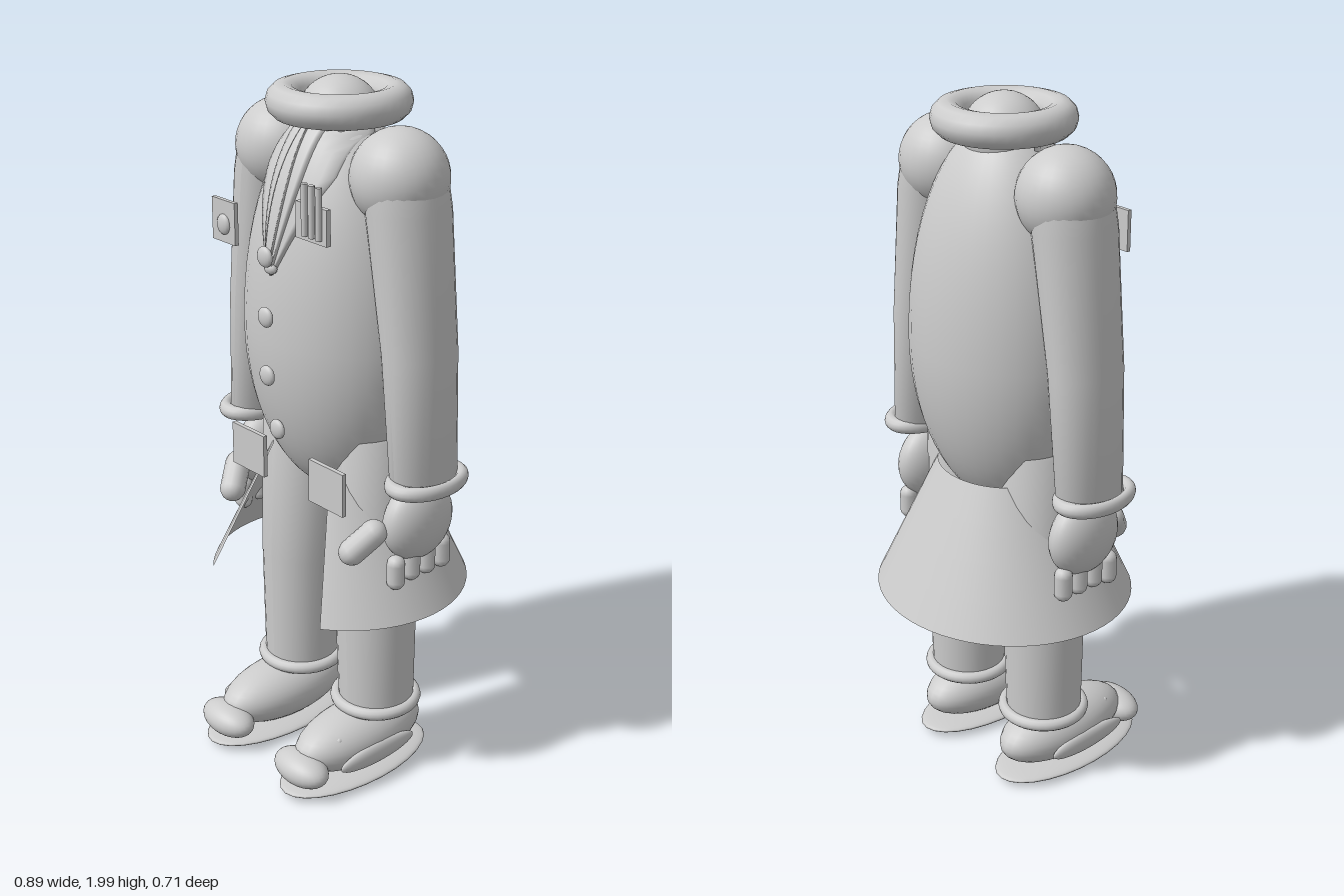
import * as THREE from 'three';

const cloth = new THREE.MeshStandardMaterial({ color: 0xcccccc, side: THREE.DoubleSide });
cloth.name = 'light grey';

const BODY_X = 0.285, BODY_Z = 0.242, BODY_Y = 1.32;

// Relative radius of the egg-shaped body at height y
function bodyRadius(y) {
  const t = (y - BODY_Y) / (y > BODY_Y ? 0.61 : 0.48);
  return Math.sqrt(Math.max(0, 1 - t * t));
}

function bodyFront(x, y) {
  const r = bodyRadius(y);
  return BODY_Z * Math.sqrt(Math.max(0, r * r - (x / BODY_X) ** 2));
}

function add(parent, name, geometry, x = 0, y = 0, z = 0) {
  const mesh = new THREE.Mesh(geometry, cloth);
  mesh.name = name;
  mesh.position.set(x, y, z);
  parent.add(mesh);
  return mesh;
}

function ellipsoid(rx, ry, rz, seg = 28) {
  return new THREE.SphereGeometry(1, seg, Math.round(seg * 0.7)).scale(rx, ry, rz);
}

function ring(radius, tube, sx = 1, sz = 1) {
  return new THREE.TorusGeometry(radius, tube, 12, 36).rotateX(Math.PI / 2).scale(sx, 1, sz);
}

// Grid surface from rows of points
function grid(rows) {
  const n = rows[0].length, index = [];
  for (let i = 0; i < rows.length - 1; i++) {
    for (let j = 0; j < n - 1; j++) {
      const a = i * n + j, d = a + n;
      index.push(a, a + 1, d + 1, a, d + 1, d);
    }
  }
  const g = new THREE.BufferGeometry();
  g.setAttribute('position', new THREE.Float32BufferAttribute(rows.flat(2), 3));
  g.setIndex(index);
  g.computeVertexNormals();
  return g;
}

// Upright limb through elliptical rings [x, y, z, rx, rz], bottom to top
function limb(rings, seg = 28) {
  return grid(rings.map(([x, y, z, rx, rz]) => Array.from({ length: seg + 1 }, (_, j) => {
    const a = (j / seg) * Math.PI * 2;
    return [x + rx * Math.sin(a), y, z + rz * Math.cos(a)];
  })));
}

// Panel lying on the chest; halfWidth gives its width from bottom (0) to top (1)
function chestPanel(y0, y1, halfWidth, offset) {
  const rows = [];
  for (let i = 0; i <= 20; i++) {
    const t = i / 20, y = y0 + (y1 - y0) * t, w = halfWidth(t), row = [];
    // turned-back rims close the panel against the chest
    row.push([-w, y, bodyFront(w, y) - 0.01]);
    for (let j = -5; j <= 5; j++) {
      const x = (w * j) / 5;
      row.push([x, y, bodyFront(x, y) + offset]);
    }
    row.push([w, y, bodyFront(w, y) - 0.01]);
    rows.push(row);
  }
  return grid(rows);
}

function makeArm(s) {
  const arm = new THREE.Group();
  arm.name = s > 0 ? 'leftArm' : 'rightArm';
  add(arm, 'shoulder', ellipsoid(0.13, 0.13, 0.13), s * 0.23, 1.775, 0);
  add(arm, 'sleeve', limb([
    [s * 0.34, 0.96, 0, 0, 0],
    [s * 0.34, 0.96, 0, 0.072, 0.105],
    [s * 0.315, 1.33, 0, 0.085, 0.113],
    [s * 0.265, 1.7, 0, 0.102, 0.12],
    [s * 0.25, 1.78, 0, 0.1, 0.118],
  ]));
  add(arm, 'cuff', ring(0.11, 0.021, 0.69, 1), s * 0.354, 0.975, 0.003);
  add(arm, 'hand', ellipsoid(0.065, 0.115, 0.117), s * 0.32, 0.845, 0);
  for (let i = 0; i < 4; i++) {
    add(arm, 'finger', new THREE.CapsuleGeometry(0.026, 0.05, 6, 12), s * 0.33, 0.725 - (i === 0 ? 0.01 : 0), 0.088 - i * 0.057);
  }
  const thumb = add(arm, 'thumb', new THREE.CapsuleGeometry(0.037, 0.08, 6, 14), s * 0.275, 0.81, 0.16);
  thumb.quaternion.setFromUnitVectors(new THREE.Vector3(0, 1, 0), new THREE.Vector3(s * 0.05, 0.08, -0.07).normalize());
  return arm;
}

function makeLeg(s) {
  const leg = new THREE.Group();
  leg.name = s > 0 ? 'leftLeg' : 'rightLeg';
  add(leg, 'trouserLeg', limb([
    [s * 0.167, 0.2, 0.005, 0.109, 0.109],
    [s * 0.162, 0.57, 0.005, 0.117, 0.117],
    [s * 0.145, 1.06, 0, 0.122, 0.122],
    [s * 0.145, 1.06, 0, 0, 0],
  ]));
  add(leg, 'ankleBand', ring(0.114, 0.018), s * 0.165, 0.215, 0.005);
  add(leg, 'sole', ellipsoid(0.125, 0.021, 0.262), s * 0.17, 0.032, 0.095);
  add(leg, 'shoe', ellipsoid(0.106, 0.09, 0.225), s * 0.167, 0.12, 0.075);
  add(leg, 'toeCap', ellipsoid(0.097, 0.048, 0.06), s * 0.168, 0.09, 0.293);
  add(leg, 'sidePatch', ellipsoid(0.018, 0.033, 0.14), s * 0.268, 0.102, 0.09);
  add(leg, 'eyelet', ellipsoid(0.01, 0.01, 0.01, 10), s * 0.225, 0.165, 0.2);
  return leg;
}

export function createModel() {
  const model = new THREE.Group();
  model.name = 'uniformedFigure';

  // Egg-shaped body, neck and collar
  const profile = [];
  for (let i = 0; i <= 32; i++) {
    const c = -Math.cos((i / 32) * Math.PI);
    const y = BODY_Y + c * (c > 0 ? 0.61 : 0.48);
    profile.push(new THREE.Vector2(bodyRadius(y), y));
  }
  add(model, 'body', new THREE.LatheGeometry(profile, 36).scale(BODY_X, 1, BODY_Z));
  add(model, 'neck', ellipsoid(0.112, 0.11, 0.112), 0, 1.89, 0);
  add(model, 'collar', ring(0.147, 0.046), 0, 1.934, 0);

  // Lapels, shirt front and its tip
  add(model, 'lapels', chestPanel(1.51, 1.89, (t) => 0.125 * Math.min(1, t * 1.45) ** 0.9, 0.012));
  add(model, 'shirtFront', chestPanel(1.54, 1.9, (t) => 0.012 + 0.042 * Math.sin(Math.min(1, t * 1.3) * Math.PI * 0.5), 0.02));
  add(model, 'tie', chestPanel(1.54, 1.9, (t) => 0.008 + 0.012 * Math.sin(t * Math.PI), 0.026));
  add(model, 'tieTip', ellipsoid(0.022, 0.016, 0.014, 12), 0, 1.53, 0.238);

  // Buttons down the front
  for (const y of [1.07, 1.235, 1.4, 1.565]) {
    add(model, 'button', ellipsoid(0.028, 0.028, 0.013, 18), 0, y, bodyFront(0, y) + (y > 1.5 ? 0.035 : 0.018));
  }

  // Chest badge and pen pocket
  add(model, 'badge', new THREE.BoxGeometry(0.095, 0.115, 0.012), -0.167, 1.623, 0.253);
  add(model, 'badgeStud', ellipsoid(0.025, 0.028, 0.012, 16), -0.165, 1.615, 0.26);
  add(model, 'penPocket', new THREE.BoxGeometry(0.118, 0.095, 0.014), 0.163, 1.687, 0.232);
  for (const x of [0.143, 0.17, 0.197]) {
    add(model, 'pen', new THREE.CylinderGeometry(0.009, 0.009, 0.135, 10), x, 1.72, 0.243);
  }

  // Flared coat skirt, open at the front
  const gap = THREE.MathUtils.degToRad(38);
  add(model, 'coatSkirt', new THREE.CylinderGeometry(0.18, 0.355, 0.39, 48, 4, true, gap, Math.PI * 2 - gap * 2)
    .scale(1.08, 1, 1), 0, 0.765, 0);

  // Mirrored pockets, arms and legs
  for (const s of [-1, 1]) {
    add(model, 'coatPocket', new THREE.BoxGeometry(0.138, 0.125, 0.013), s * 0.165, 0.943, 0.19);
    model.add(makeArm(s), makeLeg(s));
  }
  return model;
}
